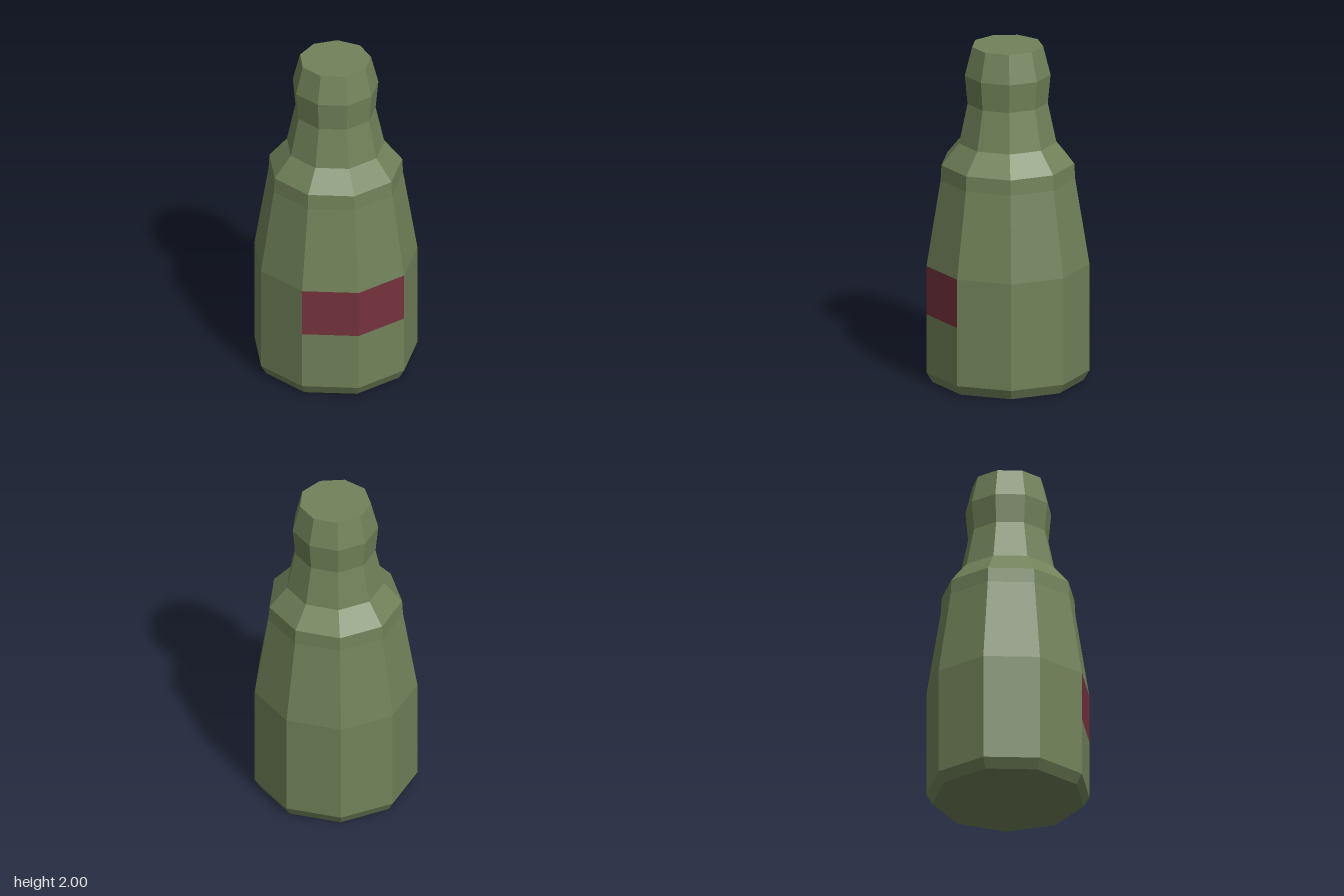
import * as THREE from 'three';

const SIDES = 9;
const STEP = (Math.PI * 2) / SIDES;

const glass = new THREE.MeshStandardMaterial({ color: 0x718259, flatShading: true });
const paper = new THREE.MeshStandardMaterial({ color: 0x75323c, flatShading: true });

// A faceted turned section from [radius, height] pairs, listed bottom to top.
// firstSide counts facets from the corner at the back (-z).
function turned(name, profile, material, firstSide = 0, sides = SIDES) {
  const points = profile.map(([r, y]) => new THREE.Vector2(r, y));
  const geometry = new THREE.LatheGeometry(points, sides, Math.PI + firstSide * STEP, sides * STEP);
  const mesh = new THREE.Mesh(geometry, material);
  mesh.name = name;
  return mesh;
}

export function createModel() {
  const bottle = new THREE.Group();
  bottle.name = 'bottle';

  // Chamfered foot and lower wall, closed underneath
  bottle.add(turned('base', [[0, 0], [0.442, 0], [0.477, 0.06], [0.477, 0.41]], glass));

  // Middle band: two label facets at the front, plain glass around the rest
  const band = [[0.477, 0.41], [0.477, 0.7]];
  bottle.add(turned('label', band, paper, 3, 2));
  bottle.add(turned('bandGlass', band, glass, 5, 7));

  // Tapering body, straight rim and sloping shoulder
  bottle.add(turned('shoulder', [[0.477, 0.7], [0.394, 1.21], [0.389, 1.3], [0.285, 1.425]], glass));

  // Narrow neck
  bottle.add(turned('neck', [[0.285, 1.425], [0.235, 1.66]], glass));

  // Flared, closed mouth
  bottle.add(turned('mouth', [[0.235, 1.66], [0.251, 1.83], [0.208, 2], [0, 2]], glass));

  // An odd number of sides is not symmetric front to back, so centre its depth
  bottle.position.z = (0.477 - 0.477 * Math.cos(STEP / 2)) / 2;

  const model = new THREE.Group();
  model.add(bottle);
  return model;
}
